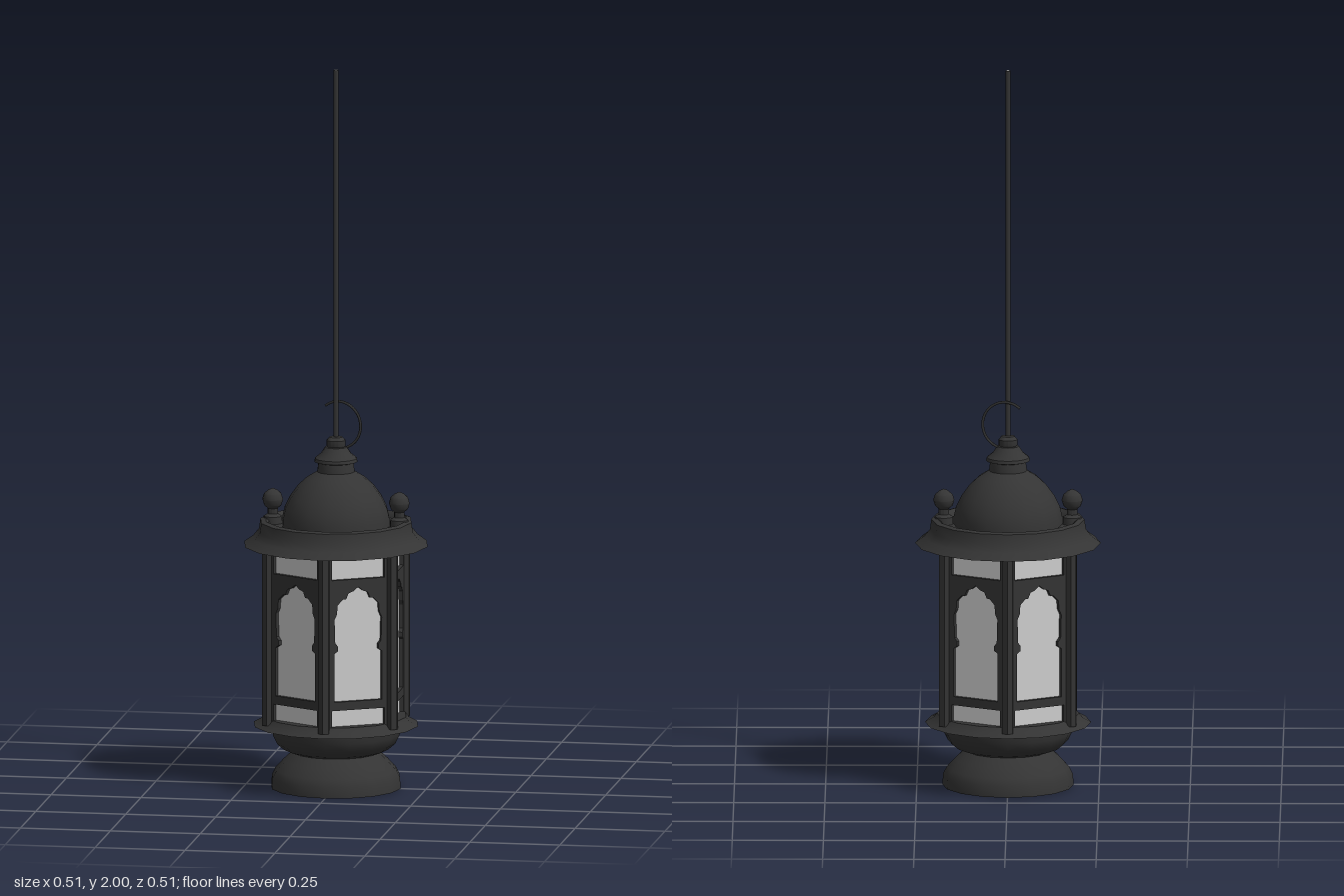
import * as THREE from 'three';
import { toCreasedNormals } from 'three/addons/utils/BufferGeometryUtils.js';

const iron = new THREE.MeshStandardMaterial({ color: 0x343434 });
iron.name = 'dark iron';
const glass = new THREE.MeshStandardMaterial({ color: 0xcfcfcf, side: THREE.DoubleSide });
glass.name = 'frosted glass';

function add(parent, name, geometry, material = iron) {
  const mesh = new THREE.Mesh(geometry, material);
  mesh.name = name;
  parent.add(mesh);
  return mesh;
}

// Turned part from [radius, height] pairs, listed from bottom to top
function turned(profile, sides = 16) {
  const points = profile.map(([r, y]) => new THREE.Vector2(r, y));
  return toCreasedNormals(new THREE.LatheGeometry(points, sides), 0.65);
}

function rectPath(hw, y0, y1) {
  return new THREE.Path([[-hw, y0], [hw, y0], [hw, y1], [-hw, y1]].map(([x, y]) => new THREE.Vector2(x, y)));
}

// Scalloped arch opening, right half mirrored to the left
function archPath() {
  const half = [[0.07, 0.27], [0.07, 0.405], [0.059, 0.412], [0.059, 0.425], [0.067, 0.435],
    [0.069, 0.5], [0.062, 0.515], [0.06, 0.54], [0.045, 0.555], [0.035, 0.556],
    [0.028, 0.572], [0.014, 0.577], [0, 0.588]];
  const left = half.slice(0, -1).reverse().map(([x, y]) => [-x, y]);
  return new THREE.Path([...half, ...left].map(([x, y]) => new THREE.Vector2(x, y)));
}

function panelGeometry() {
  const shape = new THREE.Shape(rectPath(0.1, 0.18, 0.69).getPoints());
  shape.holes.push(rectPath(0.077, 0.2, 0.246), archPath(), rectPath(0.077, 0.61, 0.677));
  return new THREE.ExtrudeGeometry(shape, { depth: 0.014, bevelEnabled: false });
}

export function createModel() {
  const model = new THREE.Group();
  model.name = 'hangingLantern';

  // Foot, bowl and lower flange
  add(model, 'foot', turned([[0, 0], [0.18, 0], [0.178, 0.03], [0.168, 0.05],
    [0.145, 0.075], [0.118, 0.1], [0, 0.1]]));
  add(model, 'bowl', turned([[0, 0.095], [0.115, 0.097], [0.145, 0.108], [0.165, 0.125],
    [0.177, 0.15], [0.18, 0.175], [0.228, 0.175], [0.205, 0.187], [0.195, 0.2], [0, 0.2]]));

  // Six-sided body: corner posts, pierced panels and glass
  const body = new THREE.Group();
  body.name = 'body';
  model.add(body);
  const panel = panelGeometry();
  const post = new THREE.CylinderGeometry(0.017, 0.017, 0.5, 6).toNonIndexed();
  post.computeVertexNormals();
  const pane = new THREE.PlaneGeometry(0.19, 0.5);
  for (let i = 0; i < 6; i++) {
    const side = new THREE.Group();
    side.name = 'side' + (i + 1);
    side.rotation.y = Math.PI / 2 + i * Math.PI / 3;
    body.add(side);
    add(side, 'panelFrame', panel).position.z = 0.161;
    add(side, 'windowGlass', pane, glass).position.set(0, 0.435, 0.164);
    const a = Math.PI / 6;
    const corner = add(side, 'cornerPost', post);
    corner.position.set(Math.sin(a) * 0.2, 0.435, Math.cos(a) * 0.2);
    corner.rotation.y = a;
  }

  // Brim with raised rim and gutter
  add(model, 'brim', turned([[0, 0.685], [0.215, 0.685], [0.255, 0.677], [0.23, 0.695],
    [0.214, 0.715], [0.21, 0.743], [0.196, 0.747], [0.188, 0.742], [0.182, 0.73], [0, 0.73]]));

  // Dome, neck and cap
  add(model, 'dome', turned([[0.15, 0.725], [0.149, 0.75], [0.142, 0.78], [0.127, 0.81],
    [0.105, 0.84], [0.08, 0.863], [0.052, 0.88], [0.049, 0.905], [0.06, 0.908],
    [0.058, 0.917], [0.042, 0.93], [0.03, 0.948], [0, 0.95]]));
  add(model, 'topKnob', turned([[0.018, 0.94], [0.026, 0.952], [0.026, 0.967],
    [0.018, 0.976], [0, 0.978]]));

  // Ball finials on both sides of the roof
  for (const [name, x] of [['leftFinial', 0.176], ['rightFinial', -0.176]]) {
    add(model, name, turned([[0.026, 0.728], [0.025, 0.75], [0.014, 0.757], [0.014, 0.772],
      [0.024, 0.781], [0.029, 0.797], [0.024, 0.813], [0.012, 0.823], [0, 0.828]], 12)).position.x = x;
  }

  // Suspension rod with a pale end
  add(model, 'rod', new THREE.CylinderGeometry(0.0075, 0.0075, 1.035, 8)).position.y = 1.4815;
  const end = add(model, 'rodEnd', new THREE.CircleGeometry(0.0065, 8), glass);
  end.position.y = 1.9998;
  end.rotation.x = -Math.PI / 2;

  // Open hook beside the rod
  const arc = [];
  for (let i = 0; i <= 16; i++) {
    const t = THREE.MathUtils.degToRad(-85 + 215 * i / 16);
    arc.push(new THREE.Vector3(Math.cos(t) * 0.065, Math.sin(t) * 0.065, 0));
  }
  const hook = add(model, 'hook', new THREE.TubeGeometry(new THREE.CatmullRomCurve3(arc), 32, 0.0038, 6));
  hook.position.set(0.007, 1.008, -0.012);
  hook.rotation.y = -0.28;

  return model;
}
